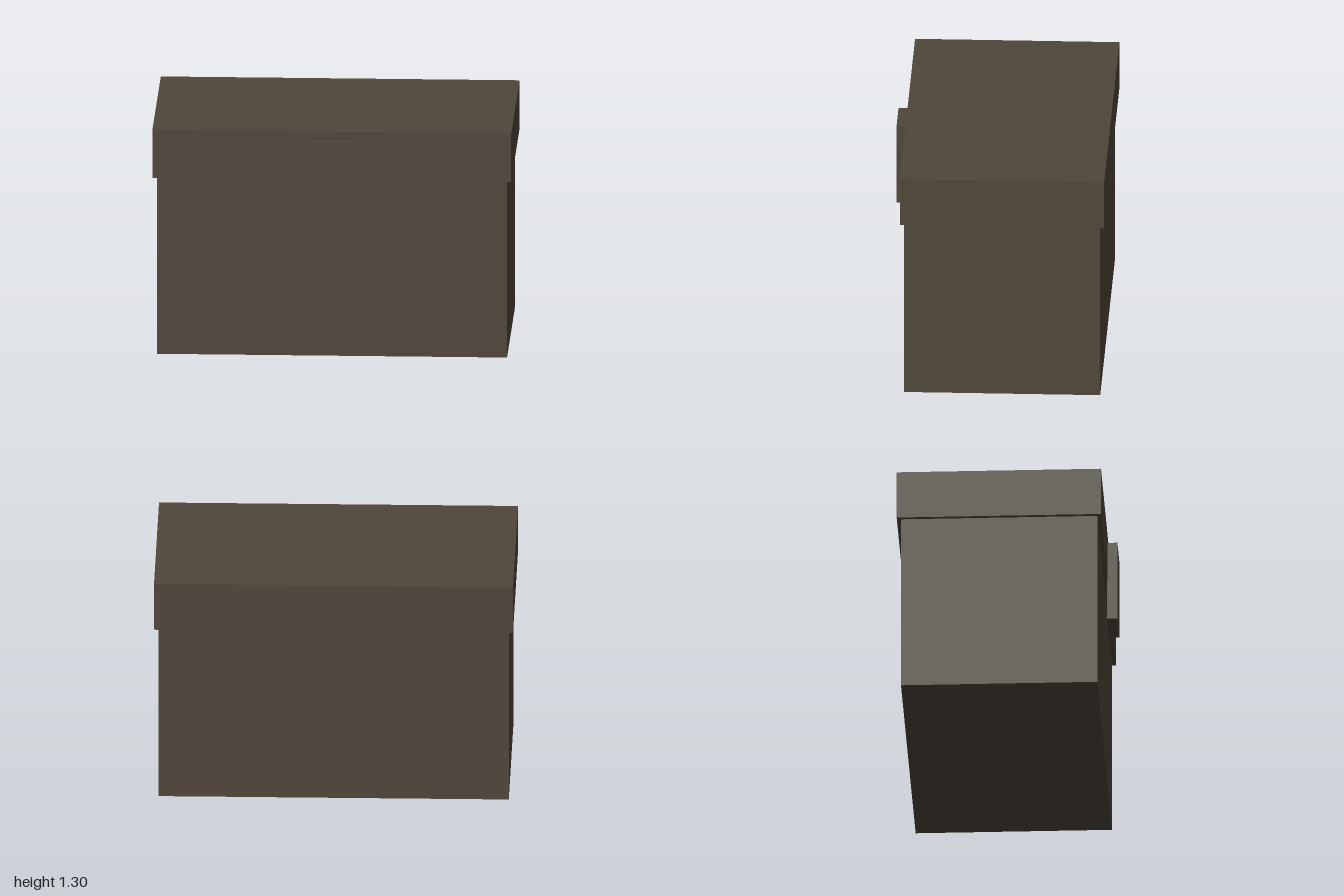
import * as THREE from 'three';

const darkBrown = new THREE.MeshStandardMaterial({ color: 0x4f463a });
darkBrown.name = 'darkBrown';

// Box given by its min and max extents on each axis
function block(name, [x0, x1], [y0, y1], [z0, z1]) {
  const mesh = new THREE.Mesh(new THREE.BoxGeometry(x1 - x0, y1 - y0, z1 - z0), darkBrown);
  mesh.position.set((x0 + x1) / 2, (y0 + y1) / 2, (z0 + z1) / 2);
  mesh.name = name;
  return mesh;
}

export function createModel() {
  const chest = new THREE.Group();
  chest.name = 'chest';
  chest.add(
    // Main container
    block('body', [-0.976, 0.976], [0, 1.02], [-0.574, 0.521]),
    // Overhanging lid
    block('lid', [-1, 1], [1.02, 1.298], [-0.597, 0.542]),
    // Clasp on the front, fixed to the lid and hanging clear of the body
    block('latch', [-0.125, 0.125], [0.785, 1.25], [0.538, 0.597]),
  );
  return chest;
}
